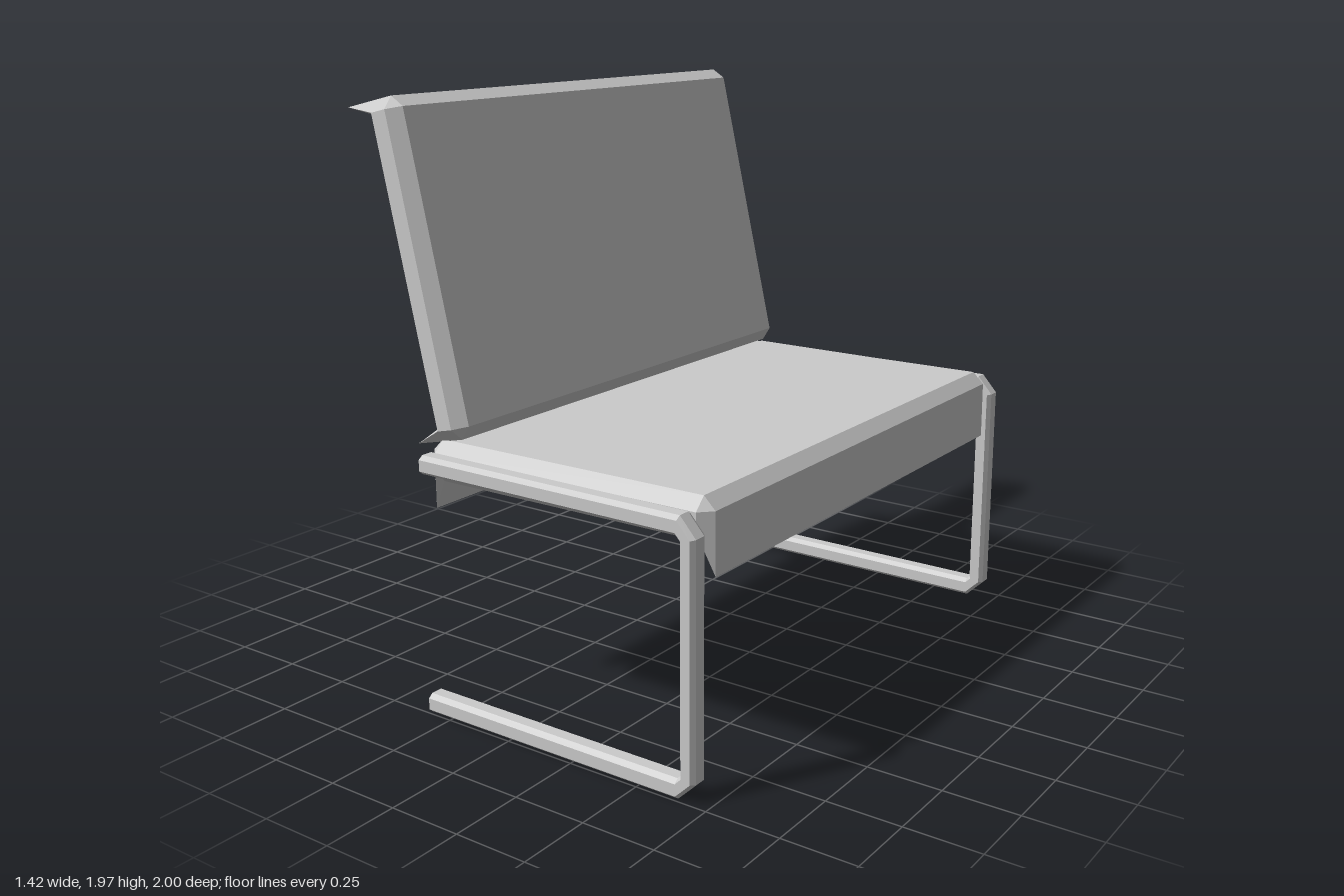
import * as THREE from 'three';

const material = new THREE.MeshStandardMaterial({ color: 0xcccccc, flatShading: true, side: THREE.DoubleSide });

function meshFrom(triangles, name) {
  const geometry = new THREE.BufferGeometry().setFromPoints(triangles);
  geometry.computeVertexNormals();
  const mesh = new THREE.Mesh(geometry, material);
  mesh.name = name;
  return mesh;
}

function quad(out, a, b, c, d, flip = false) {
  if (flip) out.push(a, c, b, a, d, c);
  else out.push(a, b, c, a, c, d);
}

// Bevelled slab with its top at y = 0; both end faces hang below the underside as sharp lips.
function cushion(name) {
  // Corner point belonging to the face across the given axis (0 end, 1 top/bottom, 2 side)
  const point = (axis, s) => new THREE.Vector3(
    s[0] * (axis === 0 ? 0.545 : 0.505),
    s[1] > 0 ? (axis === 1 ? 0 : -0.04) : [-0.238, -0.14, -0.1][axis],
    s[2] * (axis === 2 ? 0.92 : 0.88));
  const out = [];
  for (let k = 0; k < 3; k++) {
    const i = (k + 1) % 3, j = (k + 2) % 3;
    const at = (axis, sk, si, sj) => {
      const s = [];
      s[k] = sk; s[i] = si; s[j] = sj;
      return point(axis, s);
    };
    // Main faces
    for (const s of [1, -1])
      quad(out, at(k, s, 1, 1), at(k, s, -1, 1), at(k, s, -1, -1), at(k, s, 1, -1), s < 0);
    // Bevels running along axis k
    for (const si of [1, -1]) for (const sj of [1, -1])
      quad(out, at(i, 1, si, sj), at(i, -1, si, sj), at(j, -1, si, sj), at(j, 1, si, sj), si * sj < 0);
  }
  // Corner triangles
  for (const x of [1, -1]) for (const y of [1, -1]) for (const z of [1, -1]) {
    const [a, b, c] = [0, 1, 2].map(axis => point(axis, [x, y, z]));
    if (x * y * z > 0) out.push(a, b, c);
    else out.push(a, c, b);
  }
  return meshFrom(out, name);
}

// C-shaped bar with open ends: an octagon swept between an inner and an outer outline.
function legFrame(name) {
  const inner = [[-0.34, 0.81], [0.64, 0.81], [0.65, 0.8], [0.65, 0.075], [0.64, 0.065], [-0.34, 0.065]];
  const outer = [[-0.34, 0.872], [0.65, 0.872], [0.705, 0.81], [0.705, 0.062], [0.642, 0], [-0.34, 0]];
  const section = [[0, -0.02], [0.2, -0.036], [0.8, -0.036], [1, -0.02], [1, 0.02], [0.8, 0.036], [0.2, 0.036], [0, 0.02]];
  const rings = inner.map((p, i) => section.map(([t, z]) => new THREE.Vector3(
    THREE.MathUtils.lerp(p[0], outer[i][0], t),
    THREE.MathUtils.lerp(p[1], outer[i][1], t), z)));
  const out = [];
  for (let r = 0; r < rings.length - 1; r++)
    for (let s = 0; s < 8; s++) {
      const n = (s + 1) % 8;
      quad(out, rings[r][s], rings[r][n], rings[r + 1][n], rings[r + 1][s], true);
    }
  return meshFrom(out, name);
}

export function createModel() {
  const group = new THREE.Group();
  group.name = 'chair';

  const seat = cushion('seat');
  seat.position.set(0.15, 0.898, -0.006);
  seat.rotation.z = 0.006;

  const backrest = cushion('backrest');
  backrest.position.set(-0.355, 1.447, -0.006);
  backrest.rotation.z = -1.342;

  group.add(seat, backrest);

  for (const side of [1, -1]) {
    const leg = legFrame(side > 0 ? 'legFrameLeft' : 'legFrameRight');
    leg.position.z = side * 0.964;
    group.add(leg);
  }
  return group;
}
